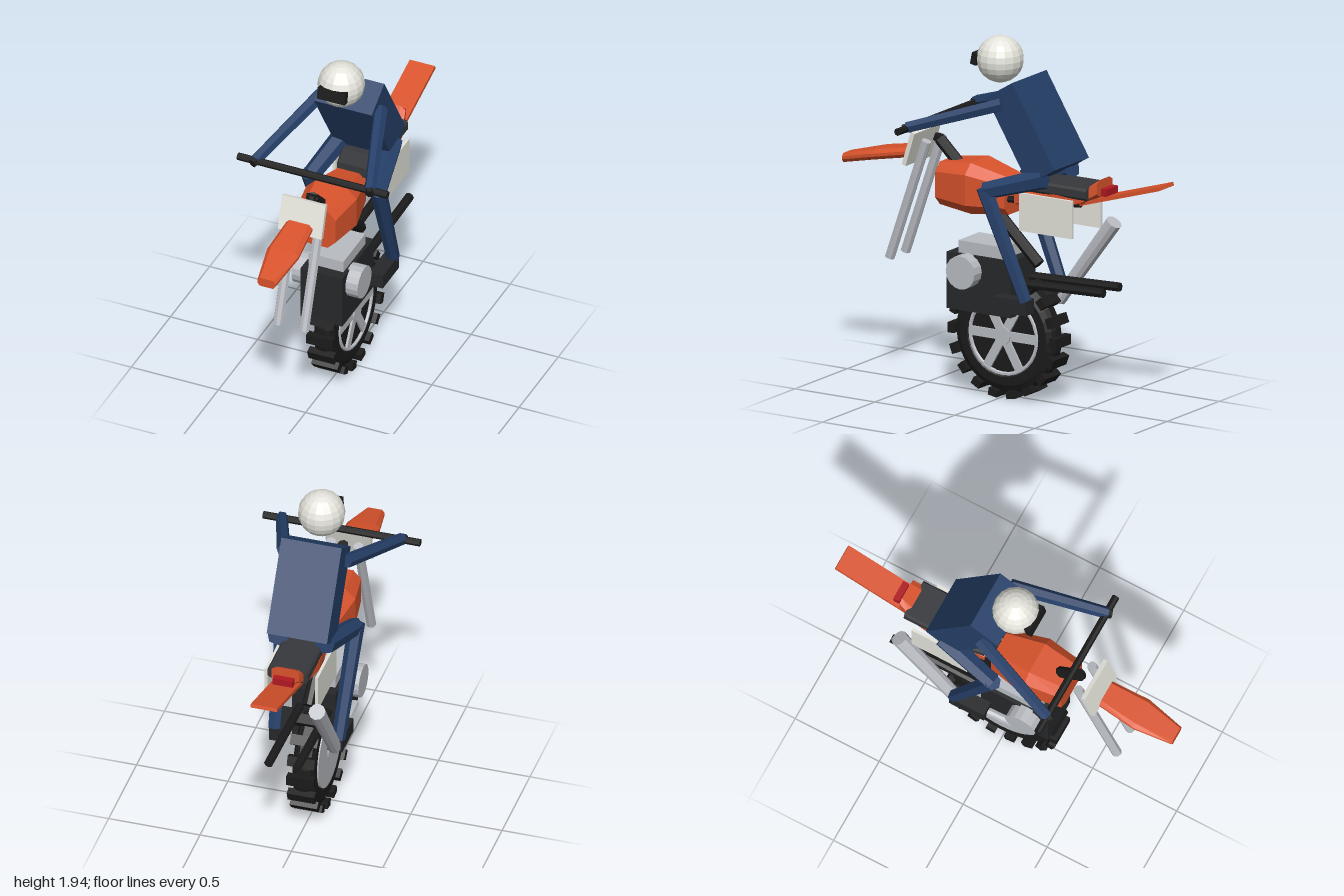
import * as THREE from 'three';

const paint = (color, side = THREE.FrontSide) => new THREE.MeshStandardMaterial({ color, flatShading: true, side });
const V = (x, y, z) => new THREE.Vector3(x, y, z);

export function createModel() {
  const model = new THREE.Group();
  const orange = paint(0xd9532c), black = paint(0x1b1b1c), dark = paint(0x26282a), grey = paint(0xb9bcc2);
  const white = paint(0xe4e4dc), navy = paint(0x253f68), red = paint(0xb01822), seatMat = paint(0x36383b);

  const add = (name, geo, mat, x = 0, y = 0, z = 0, rx = 0, parent = model) => {
    const m = new THREE.Mesh(geo, mat);
    m.name = name;
    m.position.set(x, y, z);
    m.rotation.x = rx;
    parent.add(m);
    return m;
  };
  const box = (name, mat, w, h, d, x, y, z, rx = 0, parent = model) =>
    add(name, new THREE.BoxGeometry(w, h, d), mat, x, y, z, rx, parent);

  // Straight rod between two points
  const rod = (name, mat, a, b, r0, r1 = r0, sides = 8) => {
    const dir = b.clone().sub(a);
    const m = add(name, new THREE.CylinderGeometry(r1, r0, dir.length(), sides), mat);
    m.position.copy(a).add(b).multiplyScalar(0.5);
    m.quaternion.setFromUnitVectors(V(0, 1, 0), dir.normalize());
    return m;
  };

  // Chamfered body through sections [z, halfWidth, bottom, top], running from front to back
  const loft = (name, mat, sections, inset = 0.62, cut = 0.2) => {
    const pos = [], idx = [];
    for (const [z, w, y0, y1] of sections) {
      const c = (y1 - y0) * cut, n = w * inset;
      for (const [x, y] of [[n, y0], [w, y0 + c], [w, y1 - c], [n, y1], [-n, y1], [-w, y1 - c], [-w, y0 + c], [-n, y0]])
        pos.push(x, y, z);
    }
    for (let s = 0; s < sections.length - 1; s++)
      for (let i = 0; i < 8; i++) {
        const a = s * 8 + i, b = s * 8 + (i + 1) % 8;
        idx.push(a, a + 8, b, b, a + 8, b + 8);
      }
    const e = (sections.length - 1) * 8;
    for (let i = 1; i < 7; i++) idx.push(0, i, i + 1, e, e + i + 1, e + i);
    const geo = new THREE.BufferGeometry();
    geo.setAttribute('position', new THREE.Float32BufferAttribute(pos, 3));
    geo.setIndex(idx);
    geo.computeVertexNormals();
    return add(name, geo, mat);
  };

  // Wheel: tyre, knobs, rim, spokes and brake disc
  const wheel = new THREE.Group();
  wheel.name = 'wheel';
  wheel.position.set(0, 0.342, -0.013);
  model.add(wheel);
  const profile = [[0, -0.05], [0.21, -0.05], [0.225, -0.06], [0.27, -0.06], [0.3, -0.045], [0.312, -0.02],
    [0.312, 0.02], [0.3, 0.045], [0.27, 0.06], [0.225, 0.06], [0.21, 0.05], [0, 0.05]].map(p => new THREE.Vector2(...p));
  add('tyre', new THREE.LatheGeometry(profile, 32).rotateZ(-Math.PI / 2), black, 0, 0, 0, 0, wheel);
  for (let i = 0; i < 18; i++) {
    const a = i * Math.PI / 9;
    box('tyreKnob', black, 0.15, 0.04, 0.055, 0, Math.sin(a) * 0.318, Math.cos(a) * 0.318, Math.PI / 2 - a, wheel);
  }
  add('rim', new THREE.TorusGeometry(0.208, 0.011, 6, 32).rotateY(Math.PI / 2), grey, 0.054, 0, 0, 0, wheel);
  for (let i = 0; i < 3; i++)
    box('spoke', grey, 0.03, 0.05, 0.41, 0.047, 0, 0, i * Math.PI / 3, wheel);
  const hub = add('hub', new THREE.CylinderGeometry(0.05, 0.05, 0.14, 12), grey, 0, 0, 0, 0, wheel);
  hub.rotation.z = Math.PI / 2;
  add('brakeDisc', new THREE.CylinderGeometry(0.21, 0.21, 0.02, 32).rotateZ(Math.PI / 2), grey, -0.053, 0, 0, 0, wheel);

  // Engine
  box('engineBlock', dark, 0.24, 0.305, 0.4, 0, 0.612, 0.1);
  box('cylinderHead', grey, 0.2, 0.07, 0.28, 0, 0.795, 0.1);

  // Frame and exhaust
  rod('mainFrameTube', black, V(0, 1.33, 0.42), V(0, 0.74, -0.2), 0.032);
  rod('exhaustPipe', grey, V(-0.14, 0.52, 0.18), V(-0.155, 0.53, -0.24), 0.022);
  rod('muffler', grey, V(-0.155, 0.52, -0.225), V(-0.16, 0.985, -0.565), 0.037, 0.045, 10);

  // Bodywork
  loft('fuelTank', orange, [[0.375, 0.115, 1.0, 1.23], [0.17, 0.145, 0.98, 1.255], [-0.05, 0.1, 1.0, 1.2]]);
  loft('rearBody', orange, [[-0.1, 0.085, 1.06, 1.14], [-0.35, 0.11, 1.08, 1.18], [-0.52, 0.095, 1.12, 1.2], [-0.61, 0.075, 1.175, 1.265]]);
  loft('seat', seatMat, [[-0.1, 0.09, 1.14, 1.2], [-0.2, 0.11, 1.155, 1.22], [-0.565, 0.11, 1.155, 1.22]], 0.9);
  loft('frontFender', orange, [[1, 0.052, 1.13, 1.18], [0.79, 0.09, 1.18, 1.235], [0.58, 0.075, 1.22, 1.275]], 0.75, 0.35);
  box('rearFender', orange, 0.145, 0.02, 0.73, 0, 1.168, -0.645, 0.295);
  box('tailLight', red, 0.11, 0.04, 0.035, 0, 1.2, -0.64);
  box('frontPlate', white, 0.25, 0.19, 0.025, 0, 1.285, 0.538, -0.3);

  const bar = add('handlebar', new THREE.CylinderGeometry(0.02, 0.02, 0.86, 8), black, 0, 1.462, 0.405);
  bar.rotation.z = Math.PI / 2;
  rod('handlebarStem', black, V(0, 1.32, 0.43), V(0, 1.35, 0.42), 0.03);

  // Rider
  box('torso', navy, 0.33, 0.51, 0.19, 0, 1.48, -0.19, 0.547);
  add('helmet', new THREE.SphereGeometry(0.125, 16, 12), white, 0, 1.818, 0.043);
  box('visor', black, 0.16, 0.065, 0.035, 0, 1.817, 0.157, -0.2);

  // Mirrored parts
  for (const s of [1, -1]) {
    const cover = add('engineCover', new THREE.CylinderGeometry(0.09, 0.09, 0.08, 16), grey, s * 0.15, 0.682, 0.17);
    cover.rotation.z = Math.PI / 2;
    rod('forkLeg', grey, V(s * 0.075, 1.33, 0.455), V(s * 0.075, 0.67, 0.685), 0.027);
    rod('swingarm', black, V(s * 0.077, 0.645, -0.08), V(s * 0.077, 0.665, -0.655), 0.025);
    rod('subframeTube', black, V(s * 0.06, 1.08, 0), V(s * 0.06, 1.12, -0.5), 0.018);
    box('sidePlate', white, 0.016, 0.205, 0.33, s * 0.138, 1.052, -0.335);
    rod('arm', navy, V(s * 0.17, 1.625, -0.08), V(s * 0.33, 1.465, 0.41), 0.038, 0.032, 6);
    rod('glove', black, V(s * 0.322, 1.468, 0.39), V(s * 0.338, 1.457, 0.43), 0.03, 0.025, 6);
    rod('thigh', navy, V(s * 0.13, 1.25, -0.32), V(s * 0.195, 1.15, 0.01), 0.058, 0.048, 6);
    rod('shin', navy, V(s * 0.2, 1.17, 0.015), V(s * 0.175, 0.58, -0.23), 0.045, 0.036, 6);
    box('boot', dark, 0.08, 0.08, 0.205, s * 0.16, 0.548, -0.143);
  }
  return model;
}
